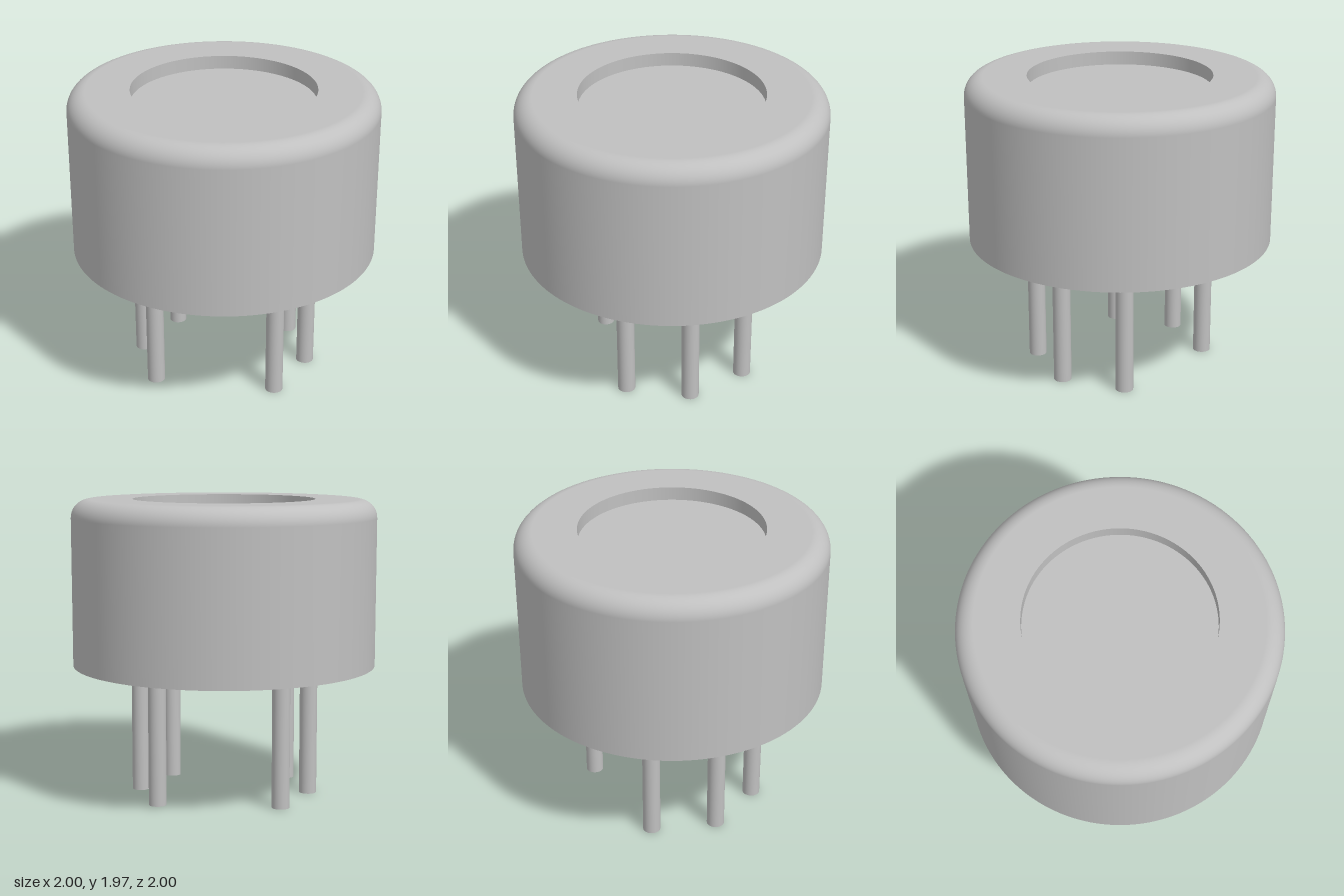
import * as THREE from 'three';
import { mergeGeometries } from 'three/addons/utils/BufferGeometryUtils.js';

export function createModel() {
  const group = new THREE.Group();
  const metal = new THREE.MeshStandardMaterial({ color: 0xc0c0c0 });
  metal.name = 'light grey metal';

  const bottom = 0.875, top = 1.965, radius = 1, fillet = 0.12;
  const recessRadius = 0.597, floor = top - 0.09;

  // Each run is smooth within itself; edges between runs stay sharp
  const lathe = (points) =>
    new THREE.LatheGeometry(points.map(([x, y]) => new THREE.Vector2(x, y)), 128);

  // Outer wall, rounded shoulder and flat rim
  const shell = [[radius, bottom]];
  for (let i = 0; i <= 12; i++) {
    const a = (i / 12) * Math.PI / 2;
    shell.push([radius - fillet + fillet * Math.cos(a), top - fillet + fillet * Math.sin(a)]);
  }
  shell.push([recessRadius, top]);

  const body = new THREE.Mesh(mergeGeometries([
    lathe([[0, bottom], [radius, bottom]]),
    lathe(shell),
    lathe([[recessRadius, top], [recessRadius, floor]]),
    lathe([[recessRadius, floor], [0, floor]]),
  ]), metal);
  body.name = 'sensorCan';
  group.add(body);

  // Six pins on a circle: three on each side
  const pins = new THREE.Group();
  pins.name = 'pins';
  const pinGeometry = new THREE.CylinderGeometry(0.058, 0.058, bottom, 32);
  for (const degrees of [-45, 0, 45, 135, 180, 225]) {
    const a = THREE.MathUtils.degToRad(degrees);
    const pin = new THREE.Mesh(pinGeometry, metal);
    pin.name = 'pin';
    pin.position.set(0.565 * Math.cos(a), bottom / 2, 0.565 * Math.sin(a));
    pins.add(pin);
  }
  group.add(pins);

  return group;
}
